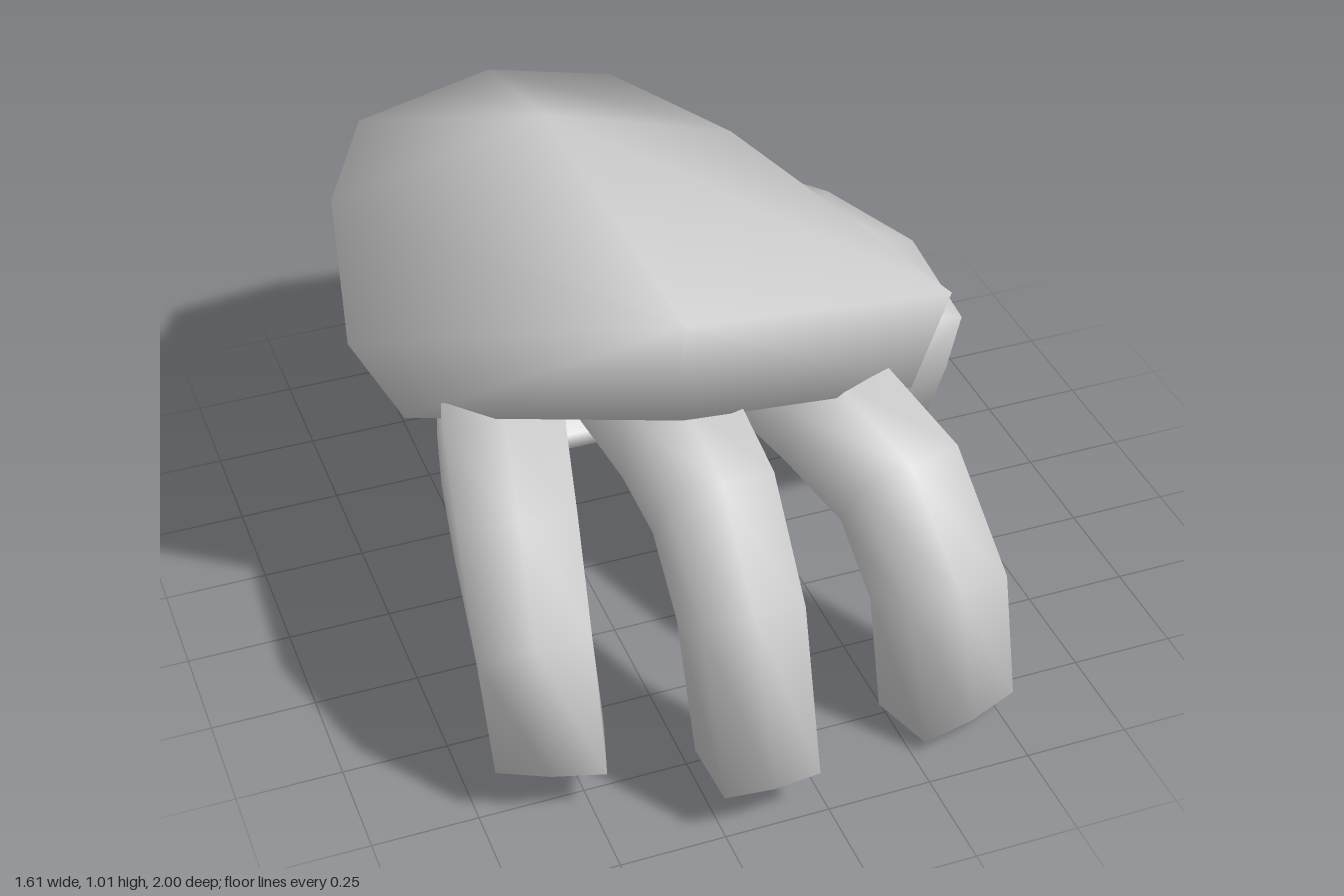
import * as THREE from 'three';
import { toCreasedNormals } from 'three/addons/utils/BufferGeometryUtils.js';

const V = (p) => new THREE.Vector3(...p);

// Skin a list of equal-sized rings; rings run counter-clockwise seen from the far end
function loft(rings, capped) {
  const n = rings[0].length, index = [];
  for (let i = 0; i < rings.length - 1; i++) {
    for (let j = 0; j < n; j++) {
      const a = i * n + j, b = i * n + (j + 1) % n;
      index.push(a, b, a + n, b, b + n, a + n);
    }
  }
  if (capped) {
    const e = (rings.length - 1) * n;
    for (let j = 1; j < n - 1; j++) {
      index.push(0, j + 1, j, e, e + j, e + j + 1);
    }
  }
  const geo = new THREE.BufferGeometry().setFromPoints(rings.flat());
  geo.setIndex(index);
  return toCreasedNormals(geo, 2.1);
}

// Cross-sections: wrist is a square with cut corners,
// digits are square on the back and chamfered on the palm side
const OCT = [[1, -0.5], [1, 0.5], [0.5, 1], [-0.5, 1], [-1, 0.5], [-1, -0.5], [-0.5, -1], [0.5, -1]];
const DIGIT = [[1, -0.4], [1, 0.95], [0, 1.04], [-1, 0.95], [-1, -0.4], [-0.55, -1], [0.55, -1]];

// Bent digit along a path; side is its sideways axis, endDir the direction its tip faces,
// rootWidth and tipWidth its half widths
function digit(path, side, endDir, rootWidth, tipWidth) {
  const pts = path.map(V);
  const last = pts.length - 1;
  return loft(pts.map((p, i) => {
    const t = new THREE.Vector3();
    if (i === last) {
      t.copy(V(endDir));
    } else {
      t.add(pts[i + 1].clone().sub(p).normalize());
      if (i > 0) t.add(p.clone().sub(pts[i - 1]).normalize());
    }
    t.normalize();
    const u = V(side).addScaledVector(t, -V(side).dot(t)).normalize();
    const v = t.clone().cross(u);
    const width = THREE.MathUtils.lerp(rootWidth, tipWidth, i / last);
    return DIGIT.map(([a, b]) => p.clone().addScaledVector(u, a * width).addScaledVector(v, b * 0.138));
  }), true);
}

export function createModel() {
  const group = new THREE.Group();
  const grey = new THREE.MeshStandardMaterial({ color: 0xcccccc });
  grey.name = 'lightGrey';
  const add = (name, geo) => {
    const mesh = new THREE.Mesh(geo, grey);
    mesh.name = name;
    group.add(mesh);
  };

  // Ridged plate over the back of the hand, from wrist to knuckles
  // each section: ridge, right edge, lower right, lower middle, lower left, left edge
  add('backPlate', loft([
    [[-0.15, 0.88, -0.985], [-0.5, 0.79, -1], [-0.44, 0.63, -0.96], [-0.15, 0.72, -0.965], [0.13, 0.63, -0.96], [0.19, 0.79, -1]],
    [[-0.15, 1, -0.52], [-0.69, 0.86, -0.54], [-0.6, 0.66, -0.53], [-0.15, 0.78, -0.5], [0.26, 0.64, -0.5], [0.345, 0.85, -0.52]],
    [[-0.15, 1.005, 0.455], [-0.8, 0.83, 0.02], [-0.69, 0.62, 0.06], [-0.165, 0.78, 0.495], [0.48, 0.588, 0.32], [0.595, 0.8, 0.27]],
  ].map((ring) => ring.map(V)), true));

  // Hollow wrist and palm: z, half width, half height, centre x, centre y
  const sections = [
    [-0.97, 0.19, 0.147, -0.15, 0.577],
    [-0.62, 0.235, 0.16, -0.15, 0.57],
    [-0.3, 0.32, 0.165, -0.14, 0.57],
    [0.06, 0.35, 0.145, -0.14, 0.57],
  ];
  const palmRing = ([z, w, h, x, y], inset) => OCT.map(([a, b]) =>
    new THREE.Vector3(x + a * (w - inset), y + b * (h - inset), z));
  const outer = sections.map((s) => palmRing(s, 0));
  const inner = sections.map((s) => palmRing(s, 0.04)).reverse();
  add('palmAndWrist', loft([...inner, ...outer, inner[0]], false));

  // Three curled fingers
  add('leftFinger', digit(
    [[0.22, 0.555, 0.05], [0.285, 0.53, 0.3], [0.345, 0.48, 0.54], [0.375, 0.3, 0.69], [0.38, 0.02, 0.75]],
    [0.97, 0.15, -0.22], [0.15, -0.98, 0.1], 0.14, 0.128));
  add('middleFinger', digit(
    [[-0.135, 0.58, 0.05], [-0.135, 0.62, 0.38], [-0.135, 0.59, 0.59], [-0.135, 0.42, 0.75], [-0.135, 0.09, 0.86]],
    [1, 0, 0], [0, -0.99, 0.1], 0.14, 0.115));
  add('rightFinger', digit(
    [[-0.46, 0.56, 0.05], [-0.5, 0.53, 0.2], [-0.545, 0.485, 0.43], [-0.56, 0.33, 0.59], [-0.55, 0.095, 0.665]],
    [0.95, -0.08, 0.3], [-0.1, -0.99, 0.1], 0.145, 0.125));

  // Thumb on the left, bent forward, its back turned outward
  add('thumb', digit(
    [[0.385, 0.5, -0.57], [0.52, 0.47, -0.475], [0.64, 0.41, -0.35], [0.618, 0.4, 0.015]],
    [-0.39, -0.92, 0], [0.3, 0, 0.95], 0.14, 0.145));

  return group;
}
